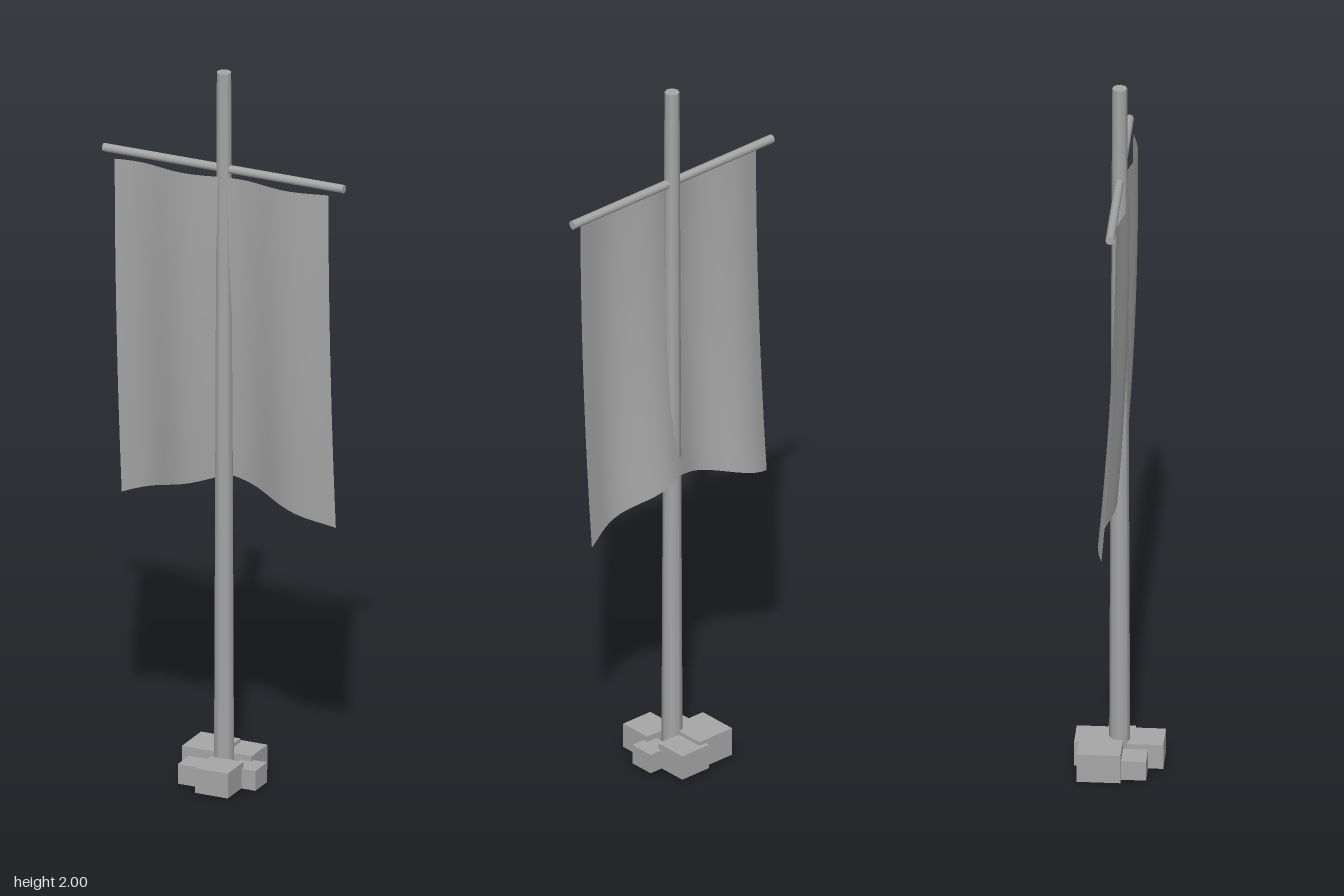
import * as THREE from 'three';

export function createModel() {
  const model = new THREE.Group();
  const grey = new THREE.MeshStandardMaterial({ color: 0xa6a6a6 });
  grey.name = 'plain grey';
  grey.side = THREE.DoubleSide;

  function add(name, geometry, x = 0, y = 0, z = 0) {
    const mesh = new THREE.Mesh(geometry, grey);
    mesh.name = name;
    mesh.position.set(x, y, z);
    model.add(mesh);
    return mesh;
  }

  // Tapered upright pole
  add('pole', new THREE.CylinderGeometry(0.02, 0.028, 2, 8), 0, 1, 0);

  // Horizontal bar holding the cloth
  add('crossbar', new THREE.CylinderGeometry(0.012, 0.012, 0.7, 8), 0, 1.73, 0).rotation.z = Math.PI / 2;

  // Rippled cloth, drifting backwards towards its notched lower edge
  const cloth = new THREE.PlaneGeometry(0.62, 1, 24, 12);
  const p = cloth.attributes.position;
  for (let i = 0; i < p.count; i++) {
    const x = p.getX(i);
    const t = 0.5 - p.getY(i);
    const bottom = 0.86 - 0.1 * Math.abs(x) / 0.31;
    const ripple = Math.cos((x - 0.2) / 0.3 * Math.PI * 2);
    const z = 0.021 - 0.04 * t * t + (0.012 + 0.008 * t) * ripple;
    p.setXYZ(i, x, 1.71 + (bottom - 1.71) * t, z);
  }
  cloth.computeVertexNormals();
  add('banner', cloth);

  // Square stones around the foot: centre x, centre z, side, top height
  const stones = [
    [-0.06, -0.047, 0.115, 0.09],
    [0.022, -0.071, 0.094, 0.08],
    [0.02, 0.069, 0.095, 0.08],
    [-0.062, 0.041, 0.071, 0.065],
    [0.072, -0.001, 0.072, 0.065],
  ];
  stones.forEach(([x, z, side, top], i) => {
    const height = top - 0.01;
    add('baseStone' + (i + 1), new THREE.BoxGeometry(side, height, side), x, 0.01 + height / 2, z);
  });

  return model;
}
